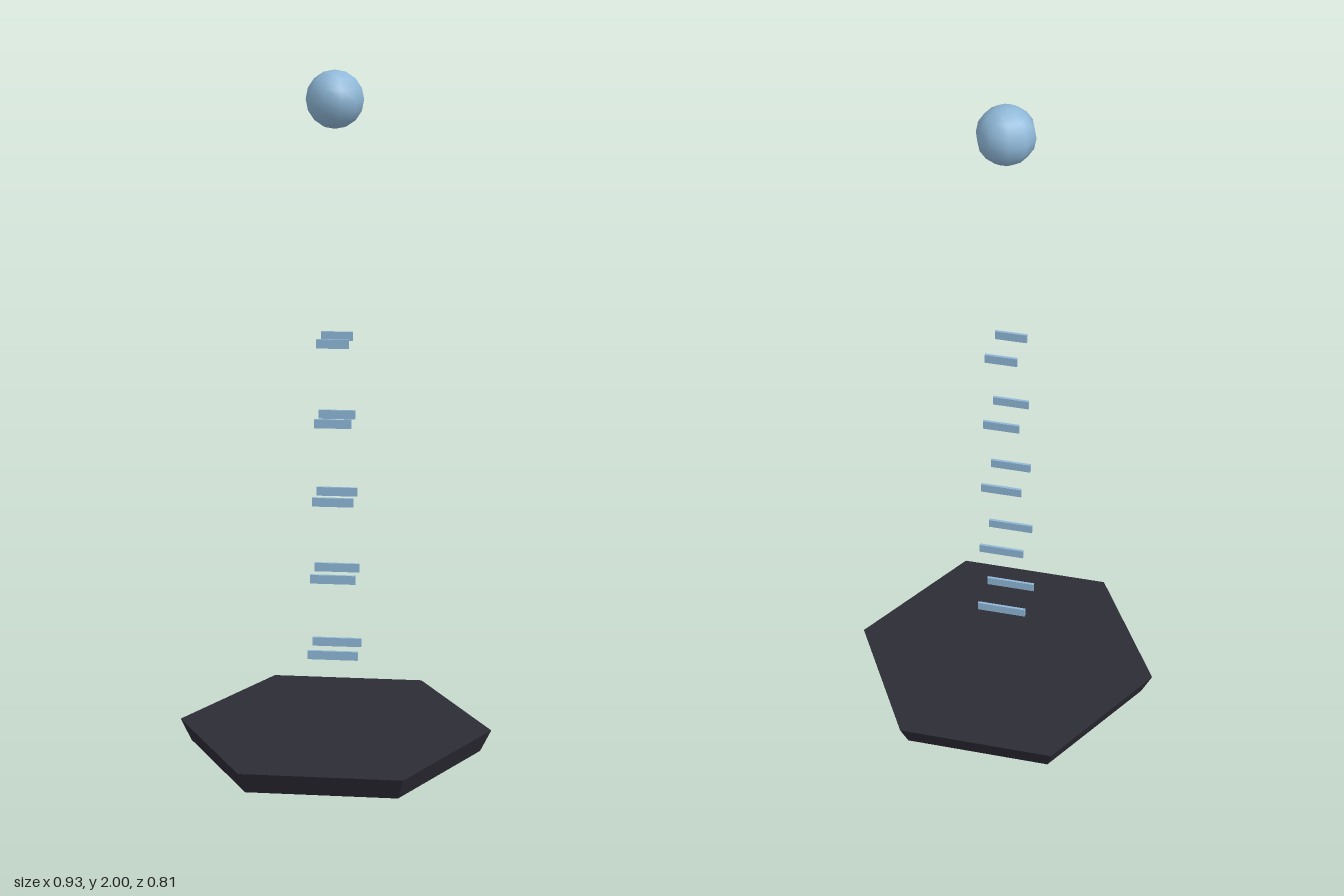
import * as THREE from 'three';

export function createModel() {
  const model = new THREE.Group();
  const dark = new THREE.MeshStandardMaterial({ color: 0x2c2c35 });
  dark.name = 'dark base';
  const blue = new THREE.MeshStandardMaterial({ color: 0x8fb8d8 });
  blue.name = 'pale blue';

  const add = (name, geometry, material, x, y, z) => {
    const mesh = new THREE.Mesh(geometry, material);
    mesh.name = name;
    mesh.position.set(x, y, z);
    model.add(mesh);
  };

  // Hexagonal base, flaring upward, with corners on the x axis
  const base = new THREE.CylinderGeometry(0.466, 0.434, 0.066, 6).toNonIndexed();
  base.rotateY(Math.PI / 6);
  base.computeVertexNormals();
  add('base', base, dark, 0, 0.033, 0);

  // Floating pairs of bars, narrowing toward the top
  for (let i = 0; i < 5; i++) {
    const width = 0.147 - i * 0.0135;
    for (const side of [1, -1]) {
      add(side > 0 ? 'frontBar' : 'backBar', new THREE.BoxGeometry(width, 0.026, 0.008),
        blue, 0, 0.305 + i * 0.2325, side * 0.06);
    }
  }

  // Orb at the top
  add('orb', new THREE.SphereGeometry(0.082, 10, 8), blue, 0, 1.918, 0);

  return model;
}
